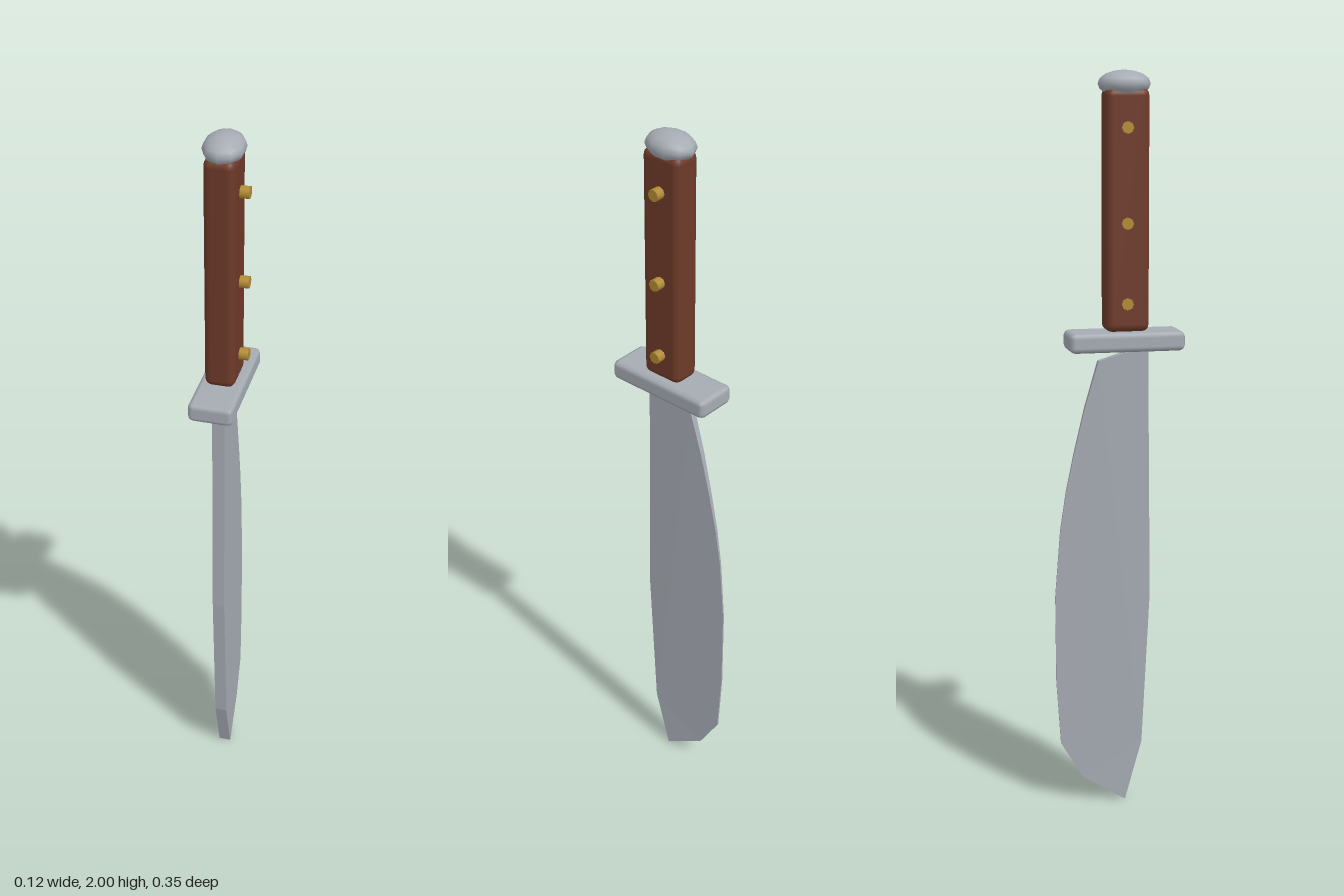
import * as THREE from 'three';
import { RoundedBoxGeometry } from 'three/addons/geometries/RoundedBoxGeometry.js';

const material = (name, color) => {
  const m = new THREE.MeshStandardMaterial({ color });
  m.name = name;
  return m;
};

export function createModel() {
  const steel = material('steel', 0xa6abb3);
  const wood = material('wood', 0x6e3a29);
  const brass = material('brass', 0xb38c34);
  const group = new THREE.Group();
  group.name = 'knife';

  const add = (name, geometry, mat, x, y, z) => {
    const mesh = new THREE.Mesh(geometry, mat);
    mesh.name = name;
    mesh.position.set(x, y, z);
    group.add(mesh);
    return mesh;
  };

  // Blade: outline in (z, y), extruded and tapered from the thick spine to the thin edge
  const outline = [
    [0.08, 1.285], [0.087, 0.6], [0.065, 0.17], [0.018, 0], [-0.1, 0.072],
    [-0.16, 0.175], [-0.172, 0.36], [-0.173, 0.6], [-0.158, 0.785],
    [-0.142, 0.89], [-0.12, 0.995], [-0.09, 1.12], [-0.053, 1.246],
  ];
  const shape = new THREE.Shape(outline.map(([z, y]) => new THREE.Vector2(z, y)));
  const blade = new THREE.ExtrudeGeometry(shape, { depth: 1, bevelEnabled: false });
  blade.translate(0, 0, -0.5).rotateY(-Math.PI / 2);
  const p = blade.attributes.position;
  for (let i = 0; i < p.count; i++) {
    const z = p.getZ(i);
    const half = z > 0.01 ? 0.0165 : 0.002 + 0.0145 * (z + 0.173) / 0.25;
    p.setX(i, Math.sign(p.getX(i)) * half);
  }
  blade.computeVertexNormals();
  add('blade', blade, steel, -0.004, 0, 0);

  // Guard and grip
  add('guard', new RoundedBoxGeometry(0.118, 0.052, 0.31, 1, 0.014), steel, -0.003, 1.3, 0.018);
  add('grip', new RoundedBoxGeometry(0.08, 0.63, 0.118, 2, 0.02), wood, -0.003, 1.64, 0.021);

  // Pommel: flattened oval cap
  const pommel = new THREE.SphereGeometry(1, 10, 8);
  pommel.rotateY(Math.PI / 2).scale(0.053, 0.035, 0.07);
  add('pommel', pommel, steel, -0.003, 1.965, 0.018);

  // Rivets passing through the grip
  for (const y of [1.4, 1.61, 1.855]) {
    const rivet = new THREE.CylinderGeometry(0.016, 0.016, 0.108, 8).rotateZ(Math.PI / 2);
    add('rivet', rivet, brass, 0.007, y, 0.019);
  }
  return group;
}
